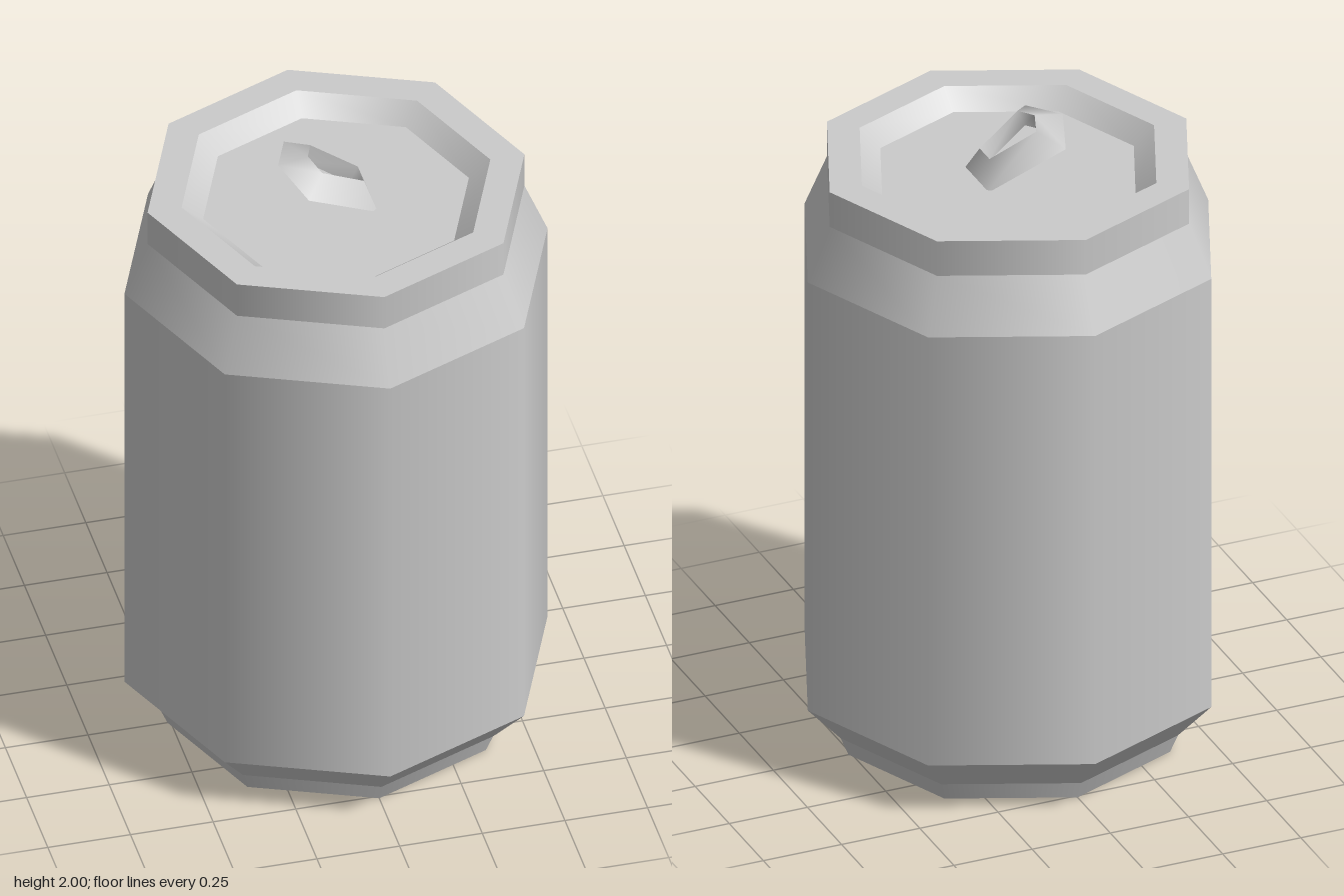
import * as THREE from 'three';

const material = new THREE.MeshStandardMaterial({ color: 0xcccccc });

// One eight-sided band between two [radius, height] points, smooth around and creased at its edges
function band(name, from, to) {
  const points = [from, to].map(([r, y]) => new THREE.Vector2(r, y));
  const mesh = new THREE.Mesh(new THREE.LatheGeometry(points, 8), material);
  mesh.name = name;
  return mesh;
}

// Closed strip joining two rings of equal point count
function strip(name, lower, upper) {
  const n = lower.length;
  const index = [];
  for (let i = 0; i < n; i++) {
    const j = (i + 1) % n;
    index.push(i, j, n + j, i, n + j, n + i);
  }
  const geometry = new THREE.BufferGeometry();
  geometry.setAttribute('position', new THREE.Float32BufferAttribute([...lower, ...upper].flat(), 3));
  geometry.setIndex(index);
  geometry.computeVertexNormals();
  const mesh = new THREE.Mesh(geometry, material);
  mesh.name = name;
  return mesh;
}

// Five-cornered ring on the tilted tab plane, raised by lift
function tabRing(tipX, wideX, wideZ, endX, endZ, lift) {
  return [[tipX, 0], [wideX, wideZ], [endX, endZ], [endX, -endZ], [wideX, -wideZ]]
    .map(([x, z]) => [x, 1.985 - 0.585 * (x + 0.175) + lift, z]);
}

export function createModel() {
  const model = new THREE.Group();
  model.name = 'drinkCan';

  // Can: profile from the base centre, up the outside, over the rim and into the recessed lid
  const can = new THREE.Group();
  can.name = 'can';
  const profile = [[0, 0], [0.51, 0], [0.535, 0.06], [0.64, 0.175], [0.64, 1.6],
    [0.57, 1.77], [0.57, 1.885], [0.467, 1.885], [0.402, 1.83], [0, 1.83]];
  const names = ['base', 'foot', 'lowerTaper', 'wall', 'shoulder', 'neck', 'rim', 'recessWall', 'lid'];
  names.forEach((name, i) => can.add(band(name, profile[i], profile[i + 1])));
  model.add(can);

  // Pull tab: tilted ring with a sloped outside, a hole and a flat underside
  const tab = new THREE.Group();
  tab.name = 'pullTab';
  const outer = tabRing(-0.175, -0.12, 0.148, 0.105, 0.083, 0);
  const ridge = tabRing(-0.085, -0.06, 0.07, 0.075, 0.036, 0.068);
  const hole = tabRing(-0.11, -0.085, 0.07, 0.05, 0.036, 0);
  tab.add(
    strip('tabSlope', outer, ridge),
    strip('tabHole', ridge, hole),
    strip('tabUnderside', hole, outer),
  );
  model.add(tab);

  return model;
}
